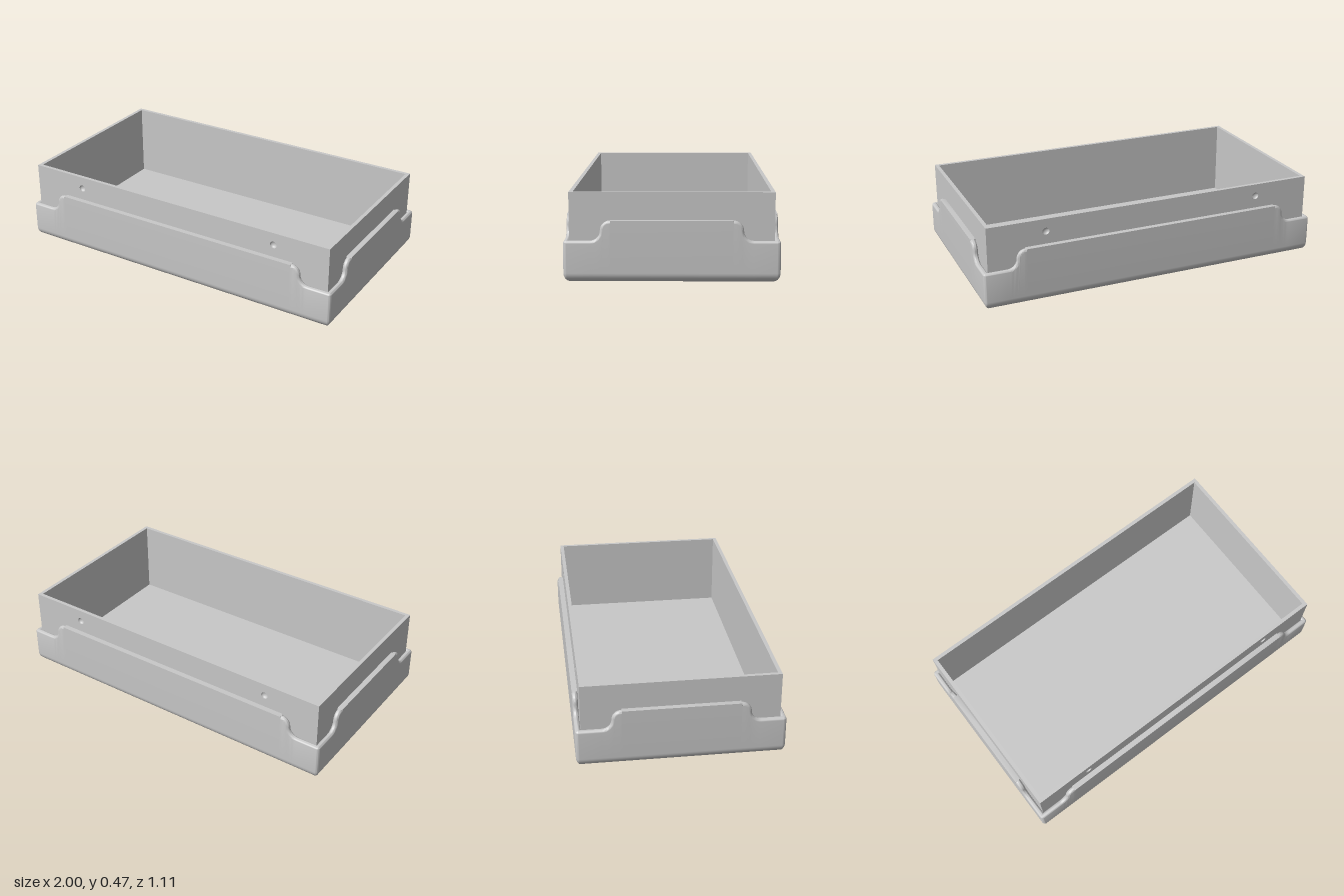
import * as THREE from 'three';
import { toCreasedNormals } from 'three/addons/utils/BufferGeometryUtils.js';

const HX = 1, HZ = 0.557;             // half size of the outer tray
const GAP = 0.03;                     // thickness of the outer tray wall
const IX = HX - GAP, IZ = HZ - GAP;   // half size of the inner box
const CORNER = 0.018, BOTTOM = 0.05, LIP = GAP / 2;
const LOW = 0.218, HIGH = 0.323, TOP = 0.466, FLOOR = 0.03, WALL = 0.021;
const R = (HIGH - LOW) / 2;           // radius of each half of the S-shaped step
const EDGE = 0.002;                   // narrow strip that keeps flat faces flat beside roundings

// Rim along half of one side: distance t from the middle, height h, rim normal (nt, nh), lip radius
function halfRim(start, half) {
  const flat = { h: HIGH, nt: 0, nh: 1, lip: 0 };
  const pts = [{ t: 0, ...flat }, { t: start - EDGE, ...flat }];
  const mid = (LOW + HIGH) / 2, n = 8;
  for (let i = 0; i <= n; i++) {
    const a = Math.PI / 2 * (1 - i / n), c = Math.cos(a), s = Math.sin(a);
    pts.push({ t: start + R * c, h: mid + R * s, nt: c, nh: s, lip: LIP });
  }
  for (let i = 1; i <= n; i++) {
    const a = Math.PI * (1 + i / n / 2), c = Math.cos(a), s = Math.sin(a);
    pts.push({ t: start + 2 * R + R * c, h: mid + R * s, nt: -c, nh: -s, lip: LIP });
  }
  pts.push({ t: half - CORNER - EDGE, h: LOW, nt: 0, nh: 1, lip: LIP });
  return pts;
}

// One quarter of the outline, from the middle of the front to the middle of the +x side
function quarterOutline() {
  const pts = [];
  for (const p of halfRim(0.76, HX))
    pts.push({ x: p.t, z: HZ, nx: 0, nz: 1, h: p.h, tx: p.nt, tz: 0, nh: p.nh, lip: p.lip });
  for (let i = 0; i <= 6; i++) {
    const a = Math.PI / 2 * (1 - i / 6), c = Math.cos(a), s = Math.sin(a);
    pts.push({ x: HX - CORNER + CORNER * c, z: HZ - CORNER + CORNER * s,
      nx: c, nz: s, h: LOW, tx: 0, tz: 0, nh: 1, lip: LIP });
  }
  for (const p of halfRim(0.315, HZ).reverse())
    pts.push({ x: HX, z: p.t, nx: 1, nz: 0, h: p.h, tx: 0, tz: p.nt, nh: p.nh, lip: p.lip });
  return pts;
}

function outerTray() {
  const quarter = quarterOutline();
  const mirror = (list, sx, sz) => list.map(p => ({ ...p, x: p.x * sx, nx: p.nx * sx,
    tx: p.tx * sx, z: p.z * sz, nz: p.nz * sz, tz: p.tz * sz }));
  const back = [...quarter].reverse();
  const ring = [...quarter, ...mirror(back, 1, -1), ...mirror(quarter, -1, -1), ...mirror(back, -1, 1)];

  // Point on the outline moved inwards by d and away from the rim by drop
  const place = (p, d, drop, y) => {
    const r = Math.min(d, CORNER), lx = HX - d, lz = HZ - d;
    const x = p.x - p.nx * r - p.tx * drop, z = p.z - p.nz * r - p.tz * drop;
    return [THREE.MathUtils.clamp(x, -lx, lx), y ?? p.h - p.nh * drop, THREE.MathUtils.clamp(z, -lz, lz)];
  };
  const rows = [ring.map(() => [0, 0, 0]), ring.map(p => place(p, BOTTOM + EDGE, 0, 0))];
  for (let i = 0; i <= 8; i++) {      // rounded bottom edge
    const a = Math.PI / 2 * i / 8;
    rows.push(ring.map(p => place(p, BOTTOM * (1 - Math.sin(a)), 0, BOTTOM * (1 - Math.cos(a)))));
  }
  rows.push(ring.map(p => place(p, 0, 0, BOTTOM + EDGE)));
  rows.push(ring.map(p => place(p, 0, p.lip + EDGE)));
  for (let i = 0; i <= 12; i++) {     // rim: half round on the steps and corners, square on the raised parts
    const a = Math.PI * i / 12, c = Math.cos(a), s = Math.sin(a);
    rows.push(ring.map(p =>
      place(p, i <= 6 ? p.lip * (1 - c) : GAP - p.lip * (1 + c), p.lip * (1 - s))));
  }

  const pos = [], n = ring.length;
  for (let j = 0; j < rows.length - 1; j++)
    for (let i = 0; i < n; i++) {
      const k = (i + 1) % n;
      const a = rows[j][i], b = rows[j][k], c = rows[j + 1][k], d = rows[j + 1][i];
      pos.push(...a, ...b, ...c, ...a, ...c, ...d);
    }
  const g = new THREE.BufferGeometry();
  g.setAttribute('position', new THREE.Float32BufferAttribute(pos, 3));
  return toCreasedNormals(g, 0.6);
}

export function createModel() {
  const group = new THREE.Group();
  const grey = new THREE.MeshStandardMaterial({ color: 0xc8c8c8, side: THREE.DoubleSide });
  grey.name = 'plain grey';
  const add = (name, geo, parent = group) => {
    const m = new THREE.Mesh(geo, grey);
    m.name = name;
    parent.add(m);
    return m;
  };
  const base = 0.02, h = TOP - base, midY = (TOP + base) / 2;

  add('outerTray', outerTray());
  add('floor', new THREE.BoxGeometry(2 * (IX - WALL), FLOOR - base, 2 * (IZ - WALL)))
    .position.y = (FLOOR + base) / 2;

  // Side walls of the inner box
  for (const s of [1, -1])
    add(s > 0 ? 'leftWall' : 'rightWall', new THREE.BoxGeometry(WALL, h, 2 * (IZ - WALL)))
      .position.set(s * (IX - WALL / 2), midY, 0);

  // Long walls with two shallow round dimples each
  const skin = 0.015, holeX = 0.64, holeY = 0.395, holeR = 0.02;
  const shape = new THREE.Shape();
  shape.moveTo(-IX, base).lineTo(IX, base).lineTo(IX, TOP).lineTo(-IX, TOP).closePath();
  for (const s of [1, -1])
    shape.holes.push(new THREE.Path().absarc(s * holeX, holeY, holeR, 0, Math.PI * 2, true));
  const skinGeo = new THREE.ExtrudeGeometry(shape, { depth: skin, bevelEnabled: false, curveSegments: 16 });
  const dimpleGeo = new THREE.SphereGeometry(holeR, 24, 8, 0, Math.PI * 2, 0, Math.PI / 2);
  dimpleGeo.rotateX(-Math.PI / 2).scale(1, 1, 0.7);
  for (const s of [1, -1]) {
    const wall = new THREE.Group();
    wall.name = s > 0 ? 'frontWall' : 'backWall';
    wall.rotation.y = s > 0 ? 0 : Math.PI;
    add('wallSkin', skinGeo, wall).position.z = IZ - skin;
    add('wallLining', new THREE.BoxGeometry(2 * IX, h, WALL - skin), wall)
      .position.set(0, midY, IZ - (WALL + skin) / 2);
    for (const x of [holeX, -holeX])
      add('dimple', dimpleGeo, wall).position.set(x, holeY, IZ);
    group.add(wall);
  }
  return group;
}
